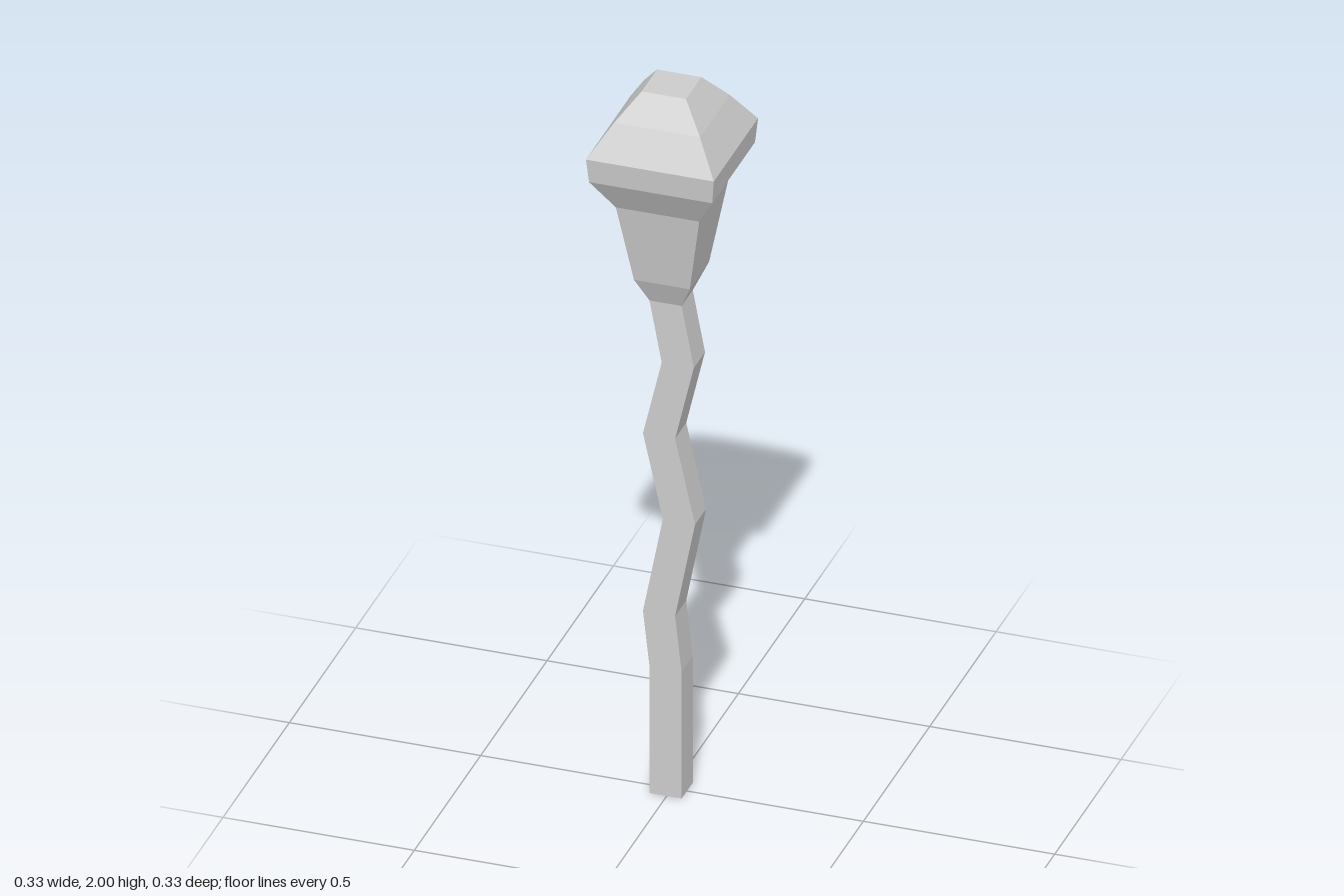
import * as THREE from 'three';

const material = new THREE.MeshStandardMaterial({ color: 0xcccccc, flatShading: true });

// Square-section loft through rings of [y, half width, x centre, z centre]
function squareLoft(name, rings, capBottom, capTop) {
  const positions = [];
  const index = [];
  for (const [y, h, cx, cz] of rings) {
    for (const [sx, sz] of [[-1, 1], [1, 1], [1, -1], [-1, -1]]) {
      positions.push(cx + sx * h, y, cz + sz * h);
    }
  }
  for (let r = 0; r < rings.length - 1; r++) {
    for (let i = 0; i < 4; i++) {
      const a = r * 4 + i;
      const b = r * 4 + (i + 1) % 4;
      index.push(a, b, b + 4, a, b + 4, a + 4);
    }
  }
  const t = (rings.length - 1) * 4;
  if (capBottom) index.push(0, 2, 1, 0, 3, 2);
  if (capTop) index.push(t, t + 1, t + 2, t, t + 2, t + 3);

  const indexed = new THREE.BufferGeometry();
  indexed.setAttribute('position', new THREE.Float32BufferAttribute(positions, 3));
  indexed.setIndex(index);
  const geometry = indexed.toNonIndexed();
  geometry.computeVertexNormals();
  const mesh = new THREE.Mesh(geometry, material);
  mesh.name = name;
  return mesh;
}

export function createModel() {
  const group = new THREE.Group();
  group.name = 'staff';

  // Straight grip, then a zigzag that bends only sideways: [y, x centre]
  const shaft = [
    [0, -0.003], [0.36, -0.003], [0.515, -0.02], [0.785, 0.032],
    [1.02, -0.02], [1.23, 0.029], [1.4, -0.003],
  ].map(([y, x]) => [y, 0.042, x, -0.002]);
  group.add(squareLoft('shaft', shaft, true, false));

  // Flared head with a stepped, flat-topped crown: [y, half width]
  const head = [
    [1.4, 0.042], [1.47, 0.073], [1.69, 0.109], [1.78, 0.161],
    [1.846, 0.167], [1.932, 0.112], [2, 0.058],
  ].map(([y, h]) => [y, h, h > 0.1 ? 0 : -0.002, h > 0.1 ? 0 : -0.002]);
  head[0][2] = -0.003;
  group.add(squareLoft('head', head, false, true));

  return group;
}
